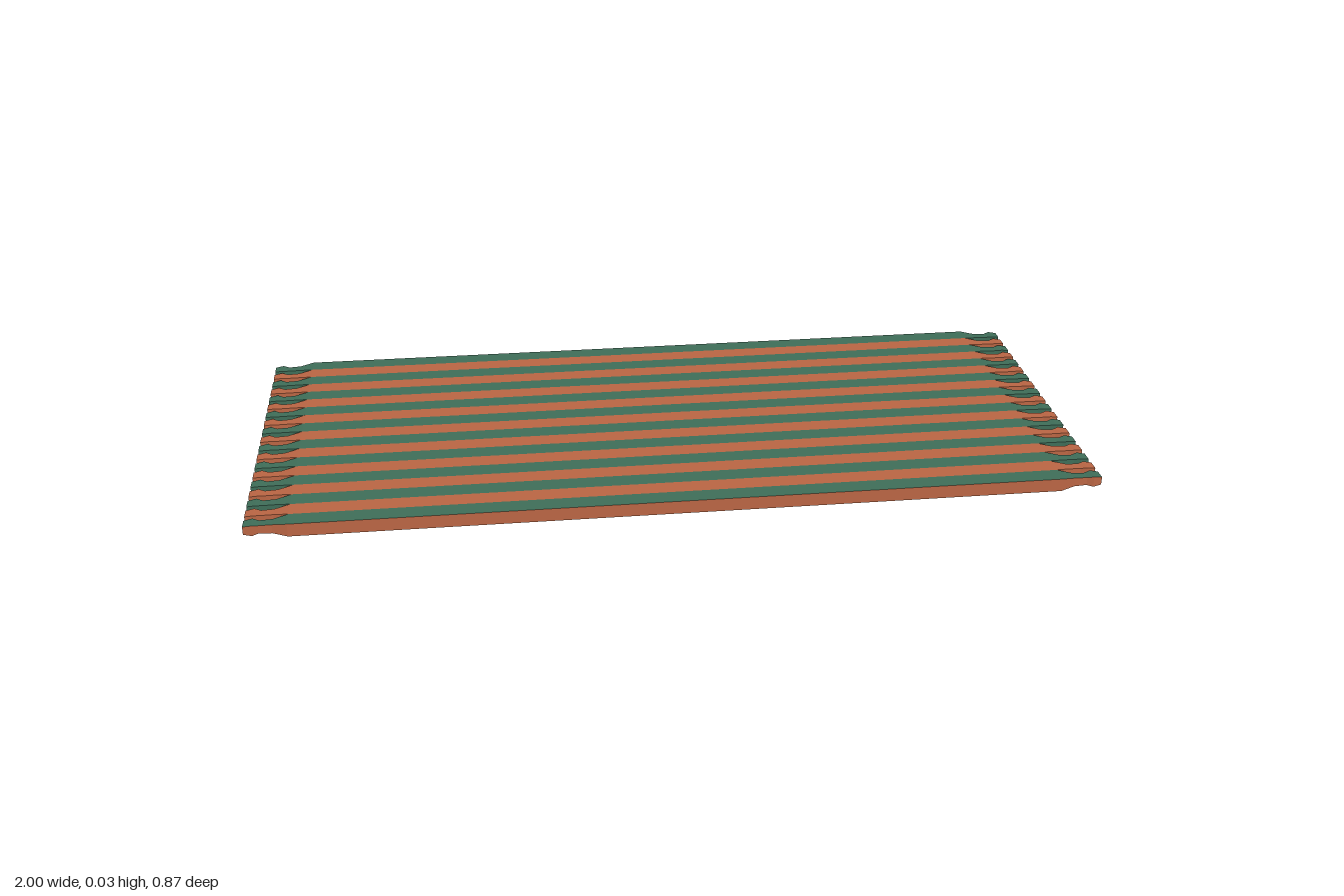
import * as THREE from 'three';

const COUNT = 19, PITCH = 0.046, MID_Y = 0.016;

// Half the outline of one strand: [x, half width, half height]
const END = [
  [0.90, 0.023, 0.016],
  [0.935, 0.013, 0.011],
  [0.965, 0.012, 0.010],
  [0.98, 0.017, 0.013],
  [1.0, 0.014, 0.010],
];
const STATIONS = [...END.map(([x, w, h]) => [-x, w, h]).reverse(), ...END];

// A box split along x, with each ring moved to its station
function strandGeometry() {
  const segments = STATIONS.length - 1;
  const box = new THREE.BoxGeometry(segments, 2, 2, segments, 1, 1);
  const p = box.attributes.position;
  for (let i = 0; i < p.count; i++) {
    const [x, w, h] = STATIONS[Math.round(p.getX(i) + segments / 2)];
    p.setXYZ(i, x, p.getY(i) * h, p.getZ(i) * w);
  }
  const geometry = box.toNonIndexed();
  geometry.computeVertexNormals();
  return geometry;
}

export function createModel() {
  const green = new THREE.MeshStandardMaterial({ color: 0x3f6e59 });
  green.name = 'green wool';
  const rust = new THREE.MeshStandardMaterial({ color: 0xbb6644 });
  rust.name = 'rust wool';

  const rug = new THREE.Group();
  rug.name = 'stripedRug';
  const geometry = strandGeometry();

  // Alternating stripes, each ending in a knotted tassel
  for (let i = 0; i < COUNT; i++) {
    const color = i % 2 ? rust : green;
    const isFront = i === COUNT - 1;
    // The front stripe has a rust outer edge (box side 4 faces +z)
    const material = isFront ? [color, color, color, color, rust, color] : color;
    const stripe = new THREE.Mesh(geometry, material);
    stripe.name = isFront ? 'frontEdgeStripe' : `stripe${i + 1}`;
    stripe.position.set(0, MID_Y, (i - (COUNT - 1) / 2) * PITCH);
    rug.add(stripe);
  }
  return rug;
}
